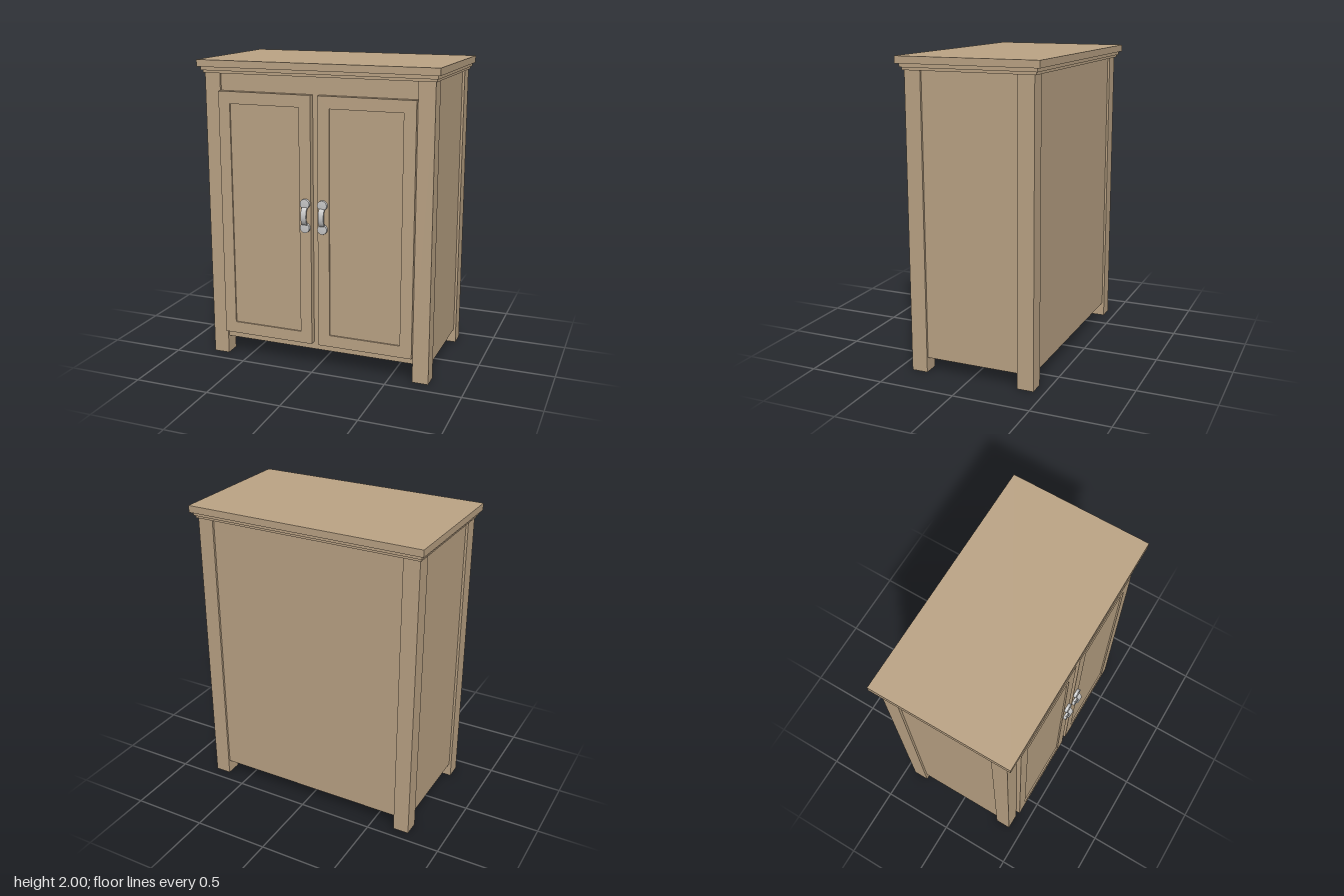
import * as THREE from 'three';

const wood = new THREE.MeshStandardMaterial({ color: 0xbda586 });
const metal = new THREE.MeshStandardMaterial({ color: 0xcccccc });

// Box given by its limits on each axis
function box(name, x0, x1, y0, y1, z0, z1) {
  const mesh = new THREE.Mesh(new THREE.BoxGeometry(x1 - x0, y1 - y0, z1 - z0), wood);
  mesh.position.set((x0 + x1) / 2, (y0 + y1) / 2, (z0 + z1) / 2);
  mesh.name = name;
  return mesh;
}

// Framed door with a sunken panel, given by its limits in x
function makeDoor(x0, x1) {
  const door = new THREE.Group();
  const y0 = 0.17, y1 = 1.805, border = 0.078;
  const rect = (Type, inset) => new Type([
    new THREE.Vector2(x0 + inset, y0 + inset), new THREE.Vector2(x1 - inset, y0 + inset),
    new THREE.Vector2(x1 - inset, y1 - inset), new THREE.Vector2(x0 + inset, y1 - inset),
  ]);
  const outline = rect(THREE.Shape, 0);
  outline.holes.push(rect(THREE.Path, border));
  const frame = new THREE.Mesh(
    new THREE.ExtrudeGeometry(outline, { depth: 0.045, bevelEnabled: false }), wood);
  frame.position.z = 0.39;
  frame.name = 'doorFrame';
  door.add(frame, box('doorPanel', x0 + border, x1 - border, y0 + border, y1 - border, 0.392, 0.425));
  return door;
}

// Bow handle: two round mounts joined by a curved strap
function makeHandle() {
  const handle = new THREE.Group();
  const profile = [[0.032, 0], [0.032, 0.017], [0.031, 0.02], [0, 0.02]]
    .map(([r, h]) => new THREE.Vector2(r, h));
  for (const s of [-1, 1]) {
    const mount = new THREE.Mesh(new THREE.LatheGeometry(profile, 32), metal);
    mount.material.flatShading = false;
    mount.rotation.x = Math.PI / 2;
    mount.position.set(0, s * 0.078, 0);
    mount.name = 'handleMount';
    handle.add(mount);
  }
  // Strap section lies in the y-z plane and is extruded across x
  const strapShape = new THREE.Shape();
  strapShape.absellipse(0, 0, 0.066, 0.041, 0, Math.PI, false);
  strapShape.absellipse(0, 0, 0.054, 0.03, Math.PI, 0, true);
  const strap = new THREE.Mesh(new THREE.ExtrudeGeometry(strapShape,
    { depth: 0.036, bevelEnabled: false, curveSegments: 24 }), metal);
  strap.geometry.translate(0, 0, -0.018);
  // shape x -> y, shape y -> z, depth -> x
  strap.geometry.applyMatrix4(new THREE.Matrix4().makeBasis(
    new THREE.Vector3(0, 1, 0), new THREE.Vector3(0, 0, 1), new THREE.Vector3(1, 0, 0)));
  strap.name = 'handleStrap';
  handle.add(strap);
  return handle;
}

export function createModel() {
  const cabinet = new THREE.Group();
  cabinet.name = 'cabinet';

  // Top board over two stepped mouldings
  cabinet.add(
    box('topBoard', -0.797, 0.797, 1.955, 2, -0.475, 0.45),
    box('upperMoulding', -0.78, 0.78, 1.932, 1.955, -0.455, 0.43),
    box('lowerMoulding', -0.77, 0.77, 1.915, 1.932, -0.443, 0.418));

  // Carcass, with side and back panels reaching just below the floor
  cabinet.add(
    box('frontFrame', -0.66, 0.66, 0.12, 1.915, 0.36, 0.392),
    box('floor', -0.73, 0.73, 0.12, 0.15, -0.4, 0.375),
    box('backPanel', -0.66, 0.66, 0.095, 1.915, -0.416, -0.395));

  for (const s of [-1, 1]) {
    const xs = (a, b) => (s > 0 ? [a, b] : [-b, -a]);
    const side = s > 0 ? 'left' : 'right';

    // Corner posts and side panel
    cabinet.add(
      box(side + 'FrontPost', ...xs(0.655, 0.761), 0, 1.915, 0.3, 0.406),
      box(side + 'BackPost', ...xs(0.655, 0.761), 0, 1.915, -0.43, -0.324),
      box(side + 'SidePanel', ...xs(0.725, 0.746), 0.095, 1.915, -0.33, 0.31));

    const door = makeDoor(...xs(0.023, 0.655));
    door.name = side + 'Door';
    const handle = makeHandle();
    handle.position.set(s * 0.059, 1.041, 0.435);
    handle.name = side + 'Handle';
    cabinet.add(door, handle);
  }
  return cabinet;
}
